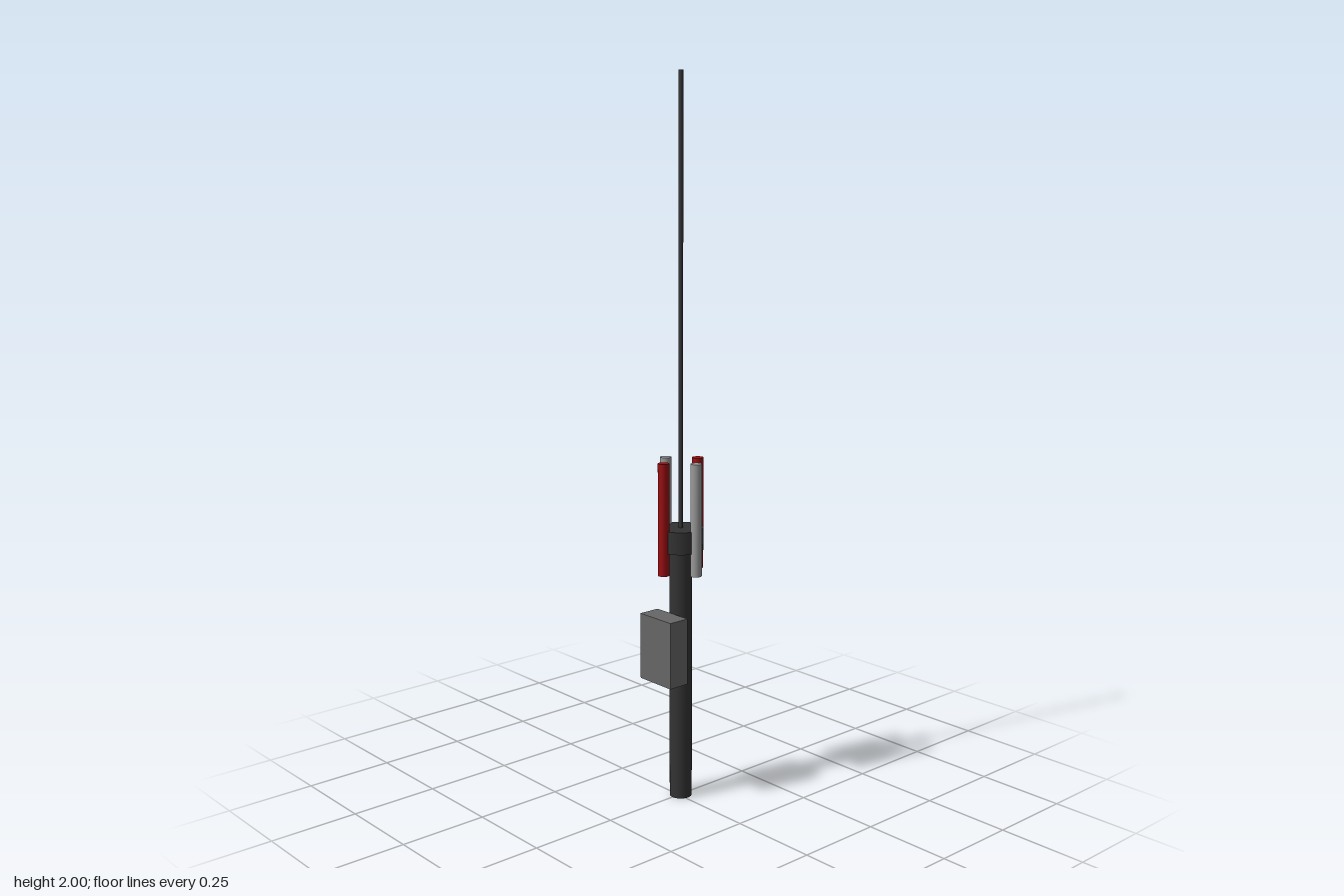
import * as THREE from 'three';

const U = 1 / 16; // design unit: the mast is 32 units tall
const paint = (color) => new THREE.MeshStandardMaterial({ color });

export function createModel() {
  const model = new THREE.Group();
  model.name = 'antennaMast';
  model.position.z = -0.125 * U;

  const dark = paint(0x333333);
  const boxGrey = paint(0x666666);
  const rodGrey = paint(0x999999);
  const rodRed = paint(0x990c10);

  const add = (name, geometry, material, x, y, z) => {
    const mesh = new THREE.Mesh(geometry, material);
    mesh.name = name;
    mesh.position.set(x * U, y * U, z * U);
    model.add(mesh);
  };
  // upright cylinder from y0 to y1
  const upright = (name, radius, y0, y1, material, x = 0, z = 0) =>
    add(name, new THREE.CylinderGeometry(radius * U, radius * U, (y1 - y0) * U, 32),
      material, x, (y0 + y1) / 2, z);

  // main pole, mounting collar and thin whip
  upright('pole', 0.5, 0, 12, dark);
  upright('collar', 1, 11.5, 12.5, dark);
  upright('whipAntenna', 0.1, 12, 32, dark);

  // four rods around the collar, grey at the sides and red front and back
  for (const s of [1, -1]) {
    upright(s > 0 ? 'leftRod' : 'rightRod', 0.25, 10.5, 15.5, rodGrey, s, 0);
    upright(s > 0 ? 'frontRod' : 'backRod', 0.25, 10.5, 15.5, rodRed, 0, s);
  }

  // equipment box on the front of the pole
  add('equipmentBox', new THREE.BoxGeometry(2 * U, 3 * U, U), boxGrey, 0, 7.15, 1);

  const root = new THREE.Group();
  root.name = 'radioMast';
  root.add(model);
  return root;
}
